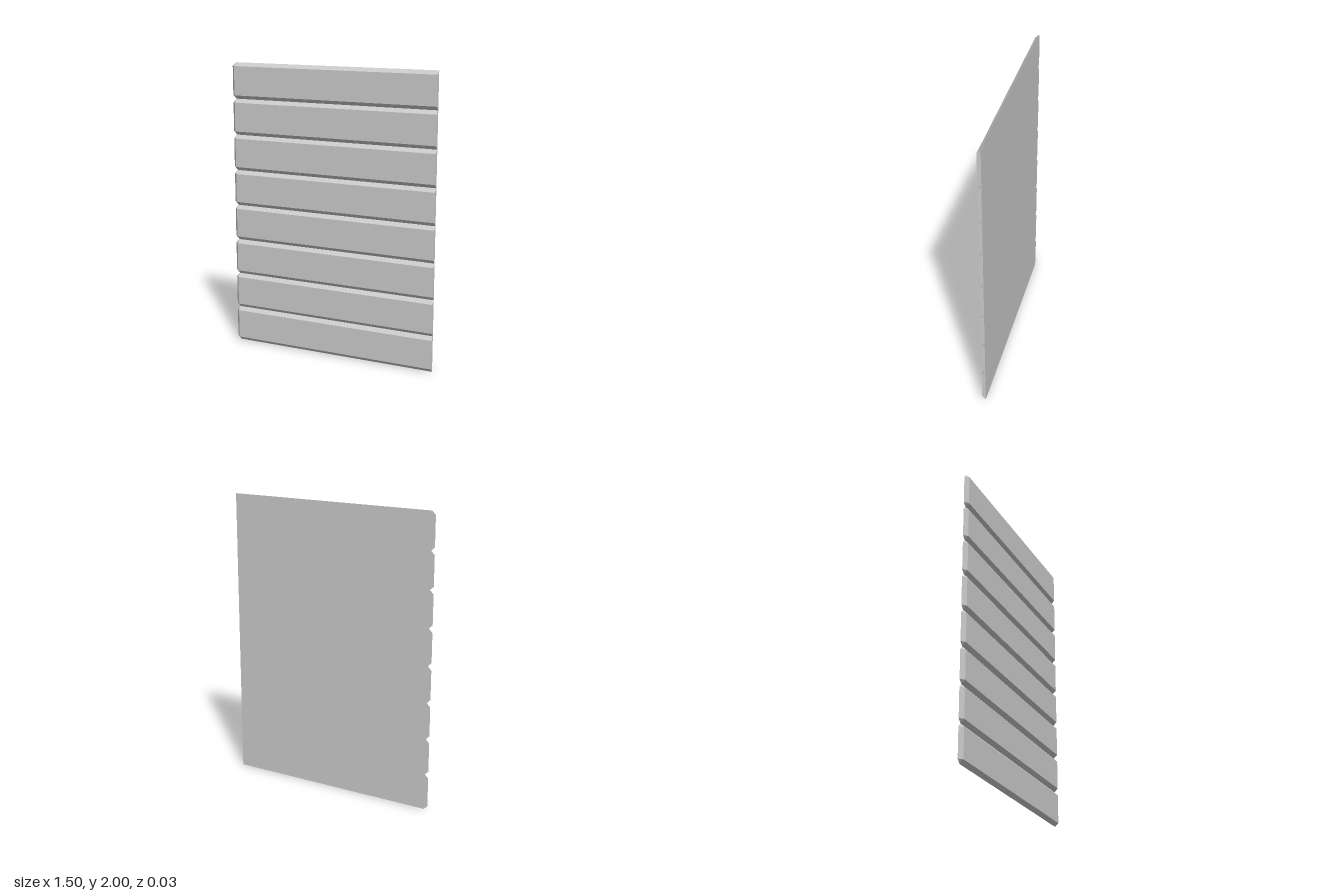
import * as THREE from 'three';
import { ConvexGeometry } from 'three/addons/geometries/ConvexGeometry.js';

const COUNT = 8;         // boards stacked in the panel
const HEIGHT = 0.25;     // height of one board
const HALF = 0.75;       // half the board length
const DEPTH = 0.0125;    // half the thickness
const BEVEL = 0.025;     // chamfer along top, bottom and right end

// One board: flat back, chamfered front edges, square cut at the +x end
function boardGeometry() {
  const points = [];
  for (const side of [-1, 1]) {
    const edge = side * HEIGHT / 2;
    const inner = edge - side * BEVEL;
    points.push(
      new THREE.Vector3(HALF, inner, DEPTH),            // front face
      new THREE.Vector3(-HALF + BEVEL, inner, DEPTH),
      new THREE.Vector3(HALF, edge, -DEPTH),            // back face
      new THREE.Vector3(-HALF + BEVEL, edge, -DEPTH),
      new THREE.Vector3(-HALF, inner, -DEPTH)           // clipped corner
    );
  }
  return new ConvexGeometry(points);
}

export function createModel() {
  const panel = new THREE.Group();
  panel.name = 'sidingPanel';
  const material = new THREE.MeshStandardMaterial({ color: 0xcccccc, flatShading: true });
  const geometry = boardGeometry();

  // Boards stacked edge to edge, leaving V grooves between them
  for (let i = 0; i < COUNT; i++) {
    const board = new THREE.Mesh(geometry, material);
    board.name = `board${i + 1}`;
    board.position.y = (i + 0.5) * HEIGHT;
    panel.add(board);
  }
  return panel;
}
